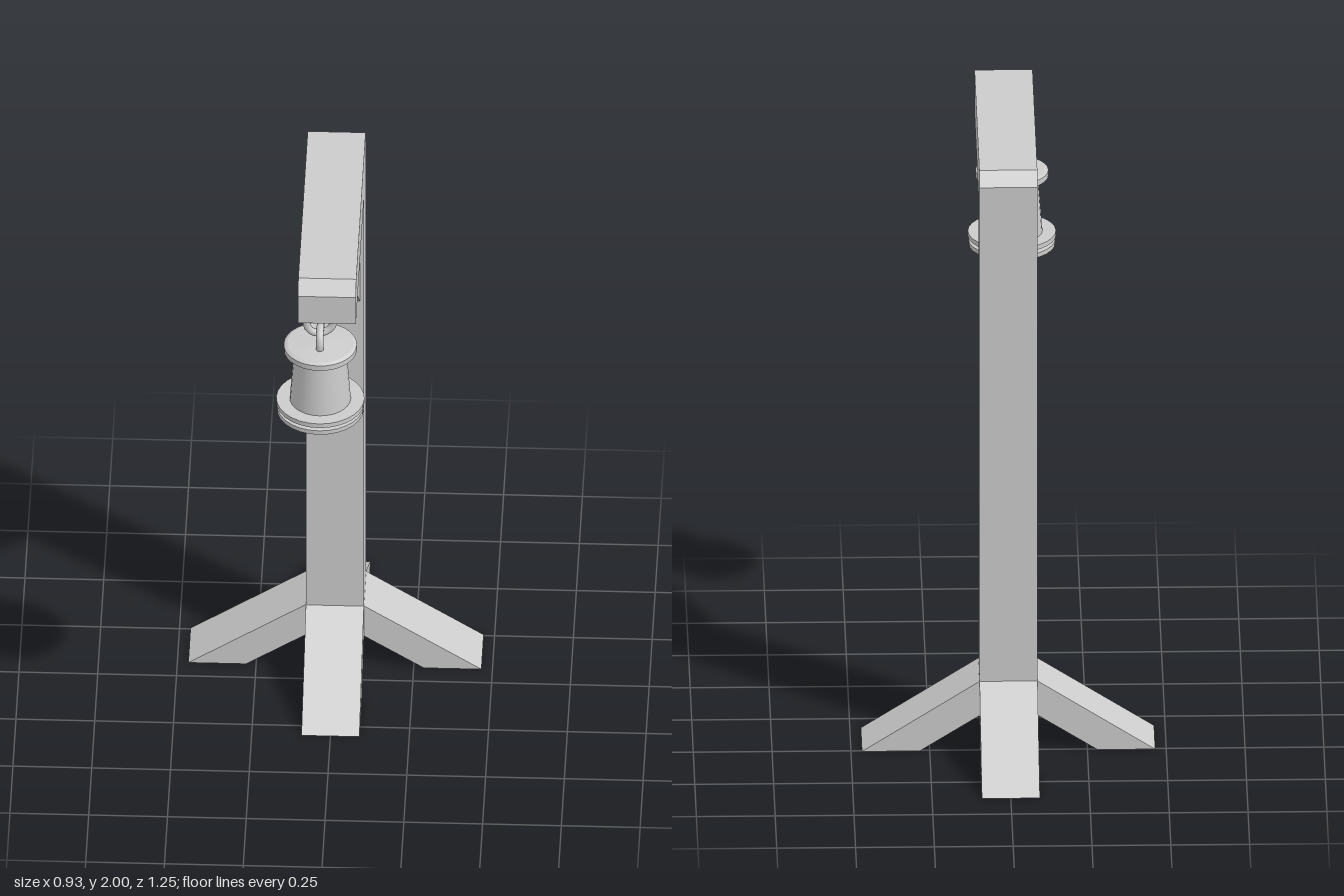
import * as THREE from 'three';

const material = new THREE.MeshStandardMaterial({ color: 0xcccccc, flatShading: true });
const smooth = new THREE.MeshStandardMaterial({ color: 0xcccccc });
const POST_Z = -0.163;

function mesh(name, geometry, mat = material) {
  const m = new THREE.Mesh(geometry, mat);
  m.name = name;
  return m;
}

// Side profile of [z, y] points, extruded along x and centred
function beam(points, width) {
  const shape = new THREE.Shape(points.map(([z, y]) => new THREE.Vector2(z, y)));
  const g = new THREE.ExtrudeGeometry(shape, { depth: width, bevelEnabled: false });
  g.translate(0, 0, -width / 2);
  g.rotateY(-Math.PI / 2);
  return g;
}

// Lathed solid with crisp edges: every profile segment gets its own strip
function turned(points, sides) {
  const group = new THREE.Group();
  for (let i = 0; i < points.length - 1; i++) {
    const pair = [points[i], points[i + 1]].map(([r, y]) => new THREE.Vector2(r, y));
    group.add(mesh('turnedBand', new THREE.LatheGeometry(pair, sides), smooth));
  }
  return group;
}

export function createModel() {
  const model = new THREE.Group();

  // Post and arm as one bent timber with chamfered ends
  model.add(mesh('postAndArm', beam([
    [-0.255, 0.2], [-0.07, 0.2], [-0.07, 1.85], [0.597, 1.85],
    [0.597, 1.955], [0.56, 2], [-0.22, 2], [-0.255, 1.955],
  ], 0.184)));

  // Diagonal brace, off centre and slightly narrower toward the front
  const brace = beam([[-0.09, 1.425], [0.35, 1.865], [0.2, 1.865], [-0.09, 1.645]], 2);
  const p = brace.attributes.position;
  for (let i = 0; i < p.count; i++) {
    const t = (p.getZ(i) + 0.07) / 0.4;
    p.setX(i, p.getX(i) > 0 ? 0.08 - 0.025 * t : -0.055 + 0.005 * t);
  }
  brace.computeVertexNormals();
  model.add(mesh('brace', brace));

  // Four splayed feet meeting under the post
  const feet = new THREE.Group();
  feet.name = 'feet';
  feet.position.z = POST_Z;
  const footGeometry = beam([[0, 0.18], [0.282, 0], [0.465, 0], [0.092, 0.24], [0, 0.24]], 0.184);
  for (let i = 0; i < 4; i++) {
    const foot = mesh('foot', footGeometry);
    foot.rotation.y = i * Math.PI / 2;
    feet.add(foot);
  }
  model.add(feet);

  // Hanging lantern
  const lantern = new THREE.Group();
  lantern.name = 'lantern';
  lantern.position.set(-0.025, 0, 0.486);
  const body = turned([
    [0.08, 1.41], [0.08, 1.43], [0.138, 1.43], [0.138, 1.445], [0.115, 1.445],
    [0.115, 1.458], [0.14, 1.458], [0.14, 1.474], [0.097, 1.474], [0.083, 1.666],
    [0.116, 1.666], [0.116, 1.685], [0.105, 1.69], [0, 1.7],
  ], 28);
  body.name = 'lanternBody';
  lantern.add(body);
  const base = mesh('lanternBase', new THREE.CylinderGeometry(0.08, 0.08, 0.02, 28));
  base.position.y = 1.42;
  lantern.add(base);

  // Three interlocked chain links, alternating in direction
  const linkGeometry = new THREE.TorusGeometry(0.044, 0.012, 10, 28);
  [[1.842, Math.PI / 2], [1.775, 0.2], [1.71, Math.PI / 2]].forEach(([y, turn]) => {
    const link = mesh('chainLink', linkGeometry, smooth);
    link.position.y = y;
    link.rotation.y = turn;
    lantern.add(link);
  });
  model.add(lantern);

  return model;
}
